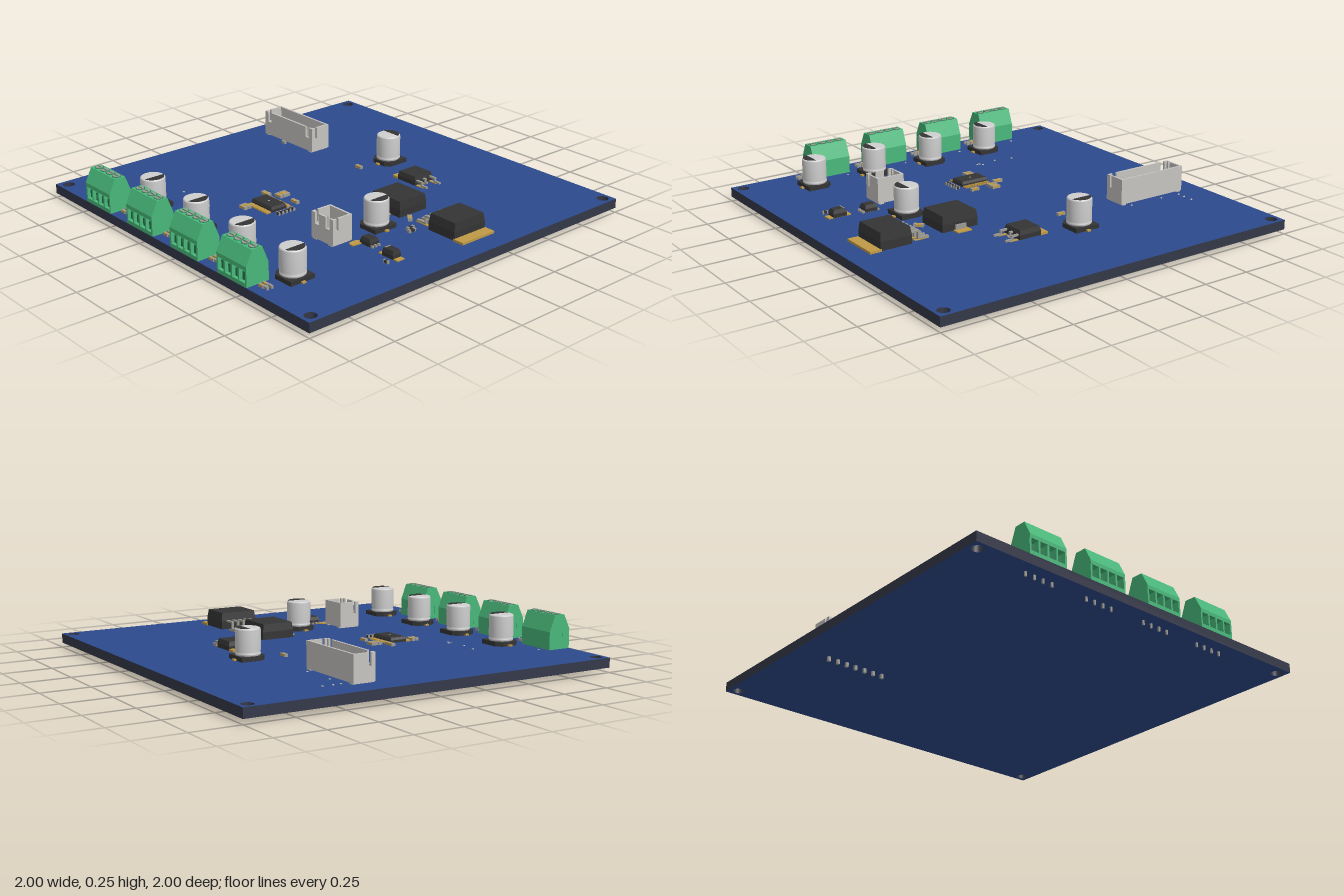
import * as THREE from 'three';

const mat = (name, color) => {
  const m = new THREE.MeshStandardMaterial({ color });
  m.name = name;
  return m;
};

export function createModel() {
  const blue = mat('solder mask blue', 0x2d4a8c), core = mat('board edge', 0x343848);
  const green = mat('terminal green', 0x48b87a), deep = mat('recess green', 0x2a7a50);
  const black = mat('package black', 0x343434), can = mat('can silver', 0xcfcfcf);
  const shell = mat('connector grey', 0xc6c4c0), gold = mat('pad gold', 0xc09a45);
  const metal = mat('lead metal', 0x9c9a94);

  const root = new THREE.Group();
  root.name = 'circuitBoard';
  const TOP = 0.073;

  // All parts are built upward from the board's top face
  const part = (name, x, z, turn = 0) => {
    const g = new THREE.Group();
    g.name = name;
    g.position.set(x, TOP, z);
    g.rotation.y = turn;
    root.add(g);
    return g;
  };
  const add = (g, name, geo, material) => {
    const m = new THREE.Mesh(geo, material);
    m.name = name;
    g.add(m);
    return m;
  };
  const box = (g, name, material, x0, x1, y0, y1, z0, z1) =>
    add(g, name, new THREE.BoxGeometry(x1 - x0, y1 - y0, z1 - z0), material)
      .position.set((x0 + x1) / 2, (y0 + y1) / 2, (z0 + z1) / 2);
  const polygon = pts => new THREE.Shape(pts.map(p => new THREE.Vector2(...p)));
  const slab = (shape, h) =>
    new THREE.ExtrudeGeometry(shape, { depth: h, bevelEnabled: false, curveSegments: 24 }).rotateX(-Math.PI / 2);

  // Board with four mounting holes
  const outline = polygon([[-1, -1], [1, -1], [1, 1], [-1, 1]]);
  for (const x of [-0.953, 0.953]) for (const y of [-0.953, 0.953]) {
    outline.holes.push(new THREE.Path().absarc(x, y, 0.03, 0, Math.PI * 2, true));
  }
  add(root, 'board', slab(outline, 0.049), [blue, core]).position.y = TOP - 0.049;

  // Four-way screw terminals
  const terminalProfile = polygon([[-0.06, 0], [0.065, 0], [0.065, 0.02], [0.025, 0.02], [0.025, 0.08],
    [0.065, 0.08], [0.065, 0.1], [0.03, 0.172], [-0.028, 0.172], [-0.06, 0.09]]);
  const terminal = x => {
    const g = part('screwTerminal', x, 0.934), w = 0.212;
    const body = new THREE.ExtrudeGeometry(terminalProfile, { depth: w, bevelEnabled: false });
    add(g, 'housing', body.rotateY(-Math.PI / 2).translate(w / 2, 0, 0), green);
    box(g, 'recessBack', deep, -0.104, 0.104, 0.02, 0.08, 0.024, 0.028);
    for (let i = 0; i < 5; i++) {
      const c = (i - 2) * 0.051;
      box(g, 'divider', green, c - 0.005, c + 0.005, 0.02, 0.08, 0.02, 0.0645);
    }
    for (let i = 0; i < 4; i++) {
      const c = (i - 1.5) * 0.051;
      box(g, 'clamp', deep, c - 0.015, c + 0.015, 0.022, 0.062, 0.025, 0.05);
      add(g, 'screwWell', new THREE.CylinderGeometry(0.023, 0.023, 0.003, 20), deep).position.set(c, 0.172, 0);
      add(g, 'screw', new THREE.CylinderGeometry(0.019, 0.019, 0.005, 20), metal).position.set(c, 0.173, 0);
      box(g, 'screwSlot', deep, c - 0.016, c + 0.016, 0.174, 0.1765, -0.003, 0.003);
      box(g, 'pin', metal, c - 0.005, c + 0.005, -0.073, 0, -0.004, 0.004);
    }
  };

  // Electrolytic can capacitors, polarity mark toward local +x
  const base = polygon([[-0.04, -0.068], [0.068, -0.068], [0.068, 0.068], [-0.04, 0.068], [-0.068, 0.04], [-0.068, -0.04]]);
  const canProfile = [[0.055, 0.018], [0.062, 0.026], [0.062, 0.034], [0.057, 0.04], [0.062, 0.046],
    [0.062, 0.146], [0.0595, 0.152], [0.054, 0.155], [0, 0.155]].map(p => new THREE.Vector2(...p));
  const markAngle = Math.acos(0.016 / 0.056);
  const mark = new THREE.Shape().absarc(0, 0, 0.056, -markAngle, markAngle, false);
  const capacitor = (x, z, turn = 0) => {
    const g = part('capacitor', x, z, turn);
    add(g, 'base', slab(base, 0.022), black);
    add(g, 'can', new THREE.LatheGeometry(canProfile, 32), can);
    add(g, 'polarityMark', slab(mark, 0.002), black).position.y = 0.1545;
    for (const s of [-1, 1]) box(g, 'lead', gold, s * 0.07 - 0.012, s * 0.07 + 0.012, 0, 0.008, -0.01, 0.01);
  };

  for (const x of [-0.599, -0.242, 0.115, 0.472]) terminal(x);
  for (const x of [-0.444, -0.086, 0.269, 0.627]) capacitor(x, 0.778);
  capacitor(0.465, 0.13);
  capacitor(-0.12, -0.497, Math.PI / 2);

  // Open-topped pin headers with slotted walls
  const header = (x, z, w, pins, tail) => {
    const g = part('pinHeader', x, z), h = 0.137, a = w / 2, d = 0.058, t = 0.011;
    box(g, 'floor', shell, -a, a, 0.006, 0.03, -d, d);
    box(g, 'backWall', shell, -a, a, 0.03, h, -d, -d + t);
    const cut = [-a, -a + 0.026, -a + 0.052, a - 0.052, a - 0.026, a];
    for (let i = 0; i < 5; i++) {
      box(g, 'frontWall', shell, cut[i], cut[i + 1], 0.03, i % 2 ? 0.08 : h, d - t, d);
    }
    for (const s of [-1, 1]) {
      const x0 = s < 0 ? -a : a - t;
      box(g, 'sideWall', shell, x0, x0 + t, 0.03, h, -d + t, 0.024);
      box(g, 'sideWallLow', shell, x0, x0 + t, 0.03, 0.075, 0.024, 0.036);
      box(g, 'sideWallFront', shell, x0, x0 + t, 0.03, h, 0.036, d - t);
      box(g, 'foot', shell, s * (a - 0.02) - 0.012, s * (a - 0.02) + 0.012, 0, 0.006, -d, d);
    }
    for (let i = 0; i < pins; i++) {
      const c = (i - (pins - 1) / 2) * 0.052;
      box(g, 'pin', metal, c - 0.007, c + 0.007, tail, 0.11, 0.003, 0.017);
    }
  };
  header(-0.677, -0.328, 0.4, 7, -0.073);
  header(0.435, 0.385, 0.152, 2, -0.02);

  // Bent lead running along local x from the package to its pad
  const gullWing = (g, x0, x1, z, y, w, material) => {
    const m = x0 + (x1 - x0) * 0.5, t = 0.009, [lo, hi] = [Math.min(x0, x1), Math.max(x0, x1)];
    box(g, 'leadShoulder', material, Math.min(m, x0), Math.max(m, x0), y, y + t, z - w, z + w);
    box(g, 'leadDrop', material, m - t / 2, m + t / 2, 0.004, y + t, z - w, z + w);
    box(g, 'leadFoot', material, Math.min(m, x1), Math.max(m, x1), 0.003, 0.003 + t, z - w, z + w);
    box(g, 'pad', gold, lo, hi - Math.abs(x1 - x0) * 0.3, 0, 0.003, z - w * 1.5, z + w * 1.5);
  };

  // Package body with sloping upper edges
  const molded = (g, w, h, d) => {
    const geo = new THREE.BoxGeometry(w, h, d, 1, 2, 1).toNonIndexed(), p = geo.attributes.position;
    for (let i = 0; i < p.count; i++) if (p.getY(i) > h * 0.4) {
      p.setX(i, p.getX(i) - Math.sign(p.getX(i)) * 0.006);
      p.setZ(i, p.getZ(i) - Math.sign(p.getZ(i)) * 0.006);
    }
    geo.computeVertexNormals();
    add(g, 'body', geo, black).position.y = h / 2 + 0.002;
  };

  // Large five-lead regulator
  const regulator = part('regulator', 0.743, -0.13);
  molded(regulator, 0.17, 0.086, 0.204);
  box(regulator, 'heatTab', gold, 0.08, 0.143, 0, 0.012, -0.106, 0.106);
  for (let i = -2; i <= 2; i++) gullWing(regulator, -0.083, -0.195, i * 0.033, 0.04, 0.007, metal);

  // Small power transistor
  const transistor = part('transistor', 0.16, -0.423);
  molded(transistor, 0.125, 0.045, 0.124);
  box(transistor, 'heatTab', gold, -0.102, -0.06, 0, 0.012, -0.062, 0.06);
  for (const z of [-0.046, 0, 0.046]) gullWing(transistor, 0.06, z ? 0.135 : 0.09, z, 0.02, 0.006, metal);

  // Inductor
  const inductor = part('inductor', 0.367, -0.11);
  molded(inductor, 0.202, 0.08, 0.178);
  for (const s of [-1, 1]) {
    box(inductor, 'pad', gold, -0.04, 0.04, 0, 0.006, s * 0.105 - 0.026, s * 0.105 + 0.026);
    box(inductor, 'clip', metal, -0.03, 0.03, 0.003, 0.03, s * 0.09 - 0.007, s * 0.09 + 0.007);
  }

  // Driver chip with two rows of fine leads
  const driver = part('driverChip', -0.065, 0.358);
  molded(driver, 0.158, 0.026, 0.094);
  add(driver, 'pinOneDot', new THREE.CylinderGeometry(0.006, 0.006, 0.002, 12), metal).position.set(0, 0.028, 0);
  for (let i = 0; i < 14; i++) for (const s of [-1, 1]) {
    const c = (i - 6.5) * 0.0112;
    box(driver, 'lead', gold, c - 0.0035, c + 0.0035, 0, 0.008, s * 0.06 - 0.015, s * 0.06 + 0.015);
  }

  // Diodes and their copper lands
  const diode = part('diode', 0.755, 0.304);
  molded(diode, 0.074, 0.04, 0.05);
  box(diode, 'pads', gold, -0.062, 0.062, 0, 0.006, -0.022, 0.022);
  box(diode, 'cathodeBand', metal, -0.028, -0.022, 0.041, 0.0435, -0.018, 0.018);
  const smallChip = part('smallChip', 0.59, 0.288);
  molded(smallChip, 0.068, 0.036, 0.056);
  for (const z of [-0.02, 0, 0.02]) box(smallChip, 'lead', metal, -0.048, 0.048, 0, 0.01, z - 0.005, z + 0.005);
  add(smallChip, 'copperLand', slab(polygon([[-0.065, -0.065], [-0.05, -0.078], [-0.03, -0.078], [-0.025, -0.02],
    [-0.035, 0], [-0.065, -0.03]]), 0.006), gold);

  // Two-terminal surface-mount chips: [x, z, turn, size, body material]
  const chip = (x, z, turn, size = 1, body = black) => {
    const g = part('chipComponent', x, z, turn), a = 0.018 * size, d = 0.008 * size;
    box(g, 'body', body, -a * 0.6, a * 0.6, 0.002, 0.014, -d, d);
    for (const s of [-1, 1]) box(g, 'endCap', metal, s * a * 0.75 - a * 0.25, s * a * 0.75 + a * 0.25, 0, 0.015, -d, d);
  };
  const Q = Math.PI / 2;
  for (const x of [-0.448, -0.092, 0.267, 0.625]) for (const dz of [-0.012, 0.012]) {
    chip(x - 0.013, 0.93 + dz, 0, 0.9, gold);
    chip(x + 0.018, 0.928 + dz, 0, 0.7, metal);
  }
  for (let i = 0; i < 5; i++) chip(0.052, 0.302 + i * 0.023, 0, 0.65);
  for (const z of [0.205, 0.225, 0.248, 0.45, 0.472]) chip(-0.122, z, 0, 1.3, gold);
  for (const [x, z, turn, size, body] of [[-0.15, -0.315, 0, 1.2, gold], [0.508, -0.05, -0.7, 1.4, gold],
    [0.595, 0.03, Q, 1.2, black], [0.618, 0.045, Q, 1.2, black], [0.79, 0.37, 0, 0.8, black],
    [-0.185, 0.28, 0, 1.5, gold], [-0.012, 0.235, 0, 1.3, gold], [-0.692, -0.25, 0, 0.8, metal]]) {
    chip(x, z, turn, size, body);
  }

  // Tiny bare test pads
  for (const [x, z] of [[-0.83, -0.515], [-0.83, -0.46], [-0.83, -0.42], [-0.72, -0.41], [-0.525, -0.41],
    [-0.485, 0.57], [-0.385, 0.59], [-0.29, 0.565], [-0.28, 0.585], [-0.262, 0.58],
    [-0.67, 0.835], [-0.315, 0.835], [0.04, 0.835], [0.4, 0.835]]) {
    box(part('testPad', x, z), 'pad', shell, -0.005, 0.005, 0, 0.003, -0.004, 0.004);
  }

  return root;
}
